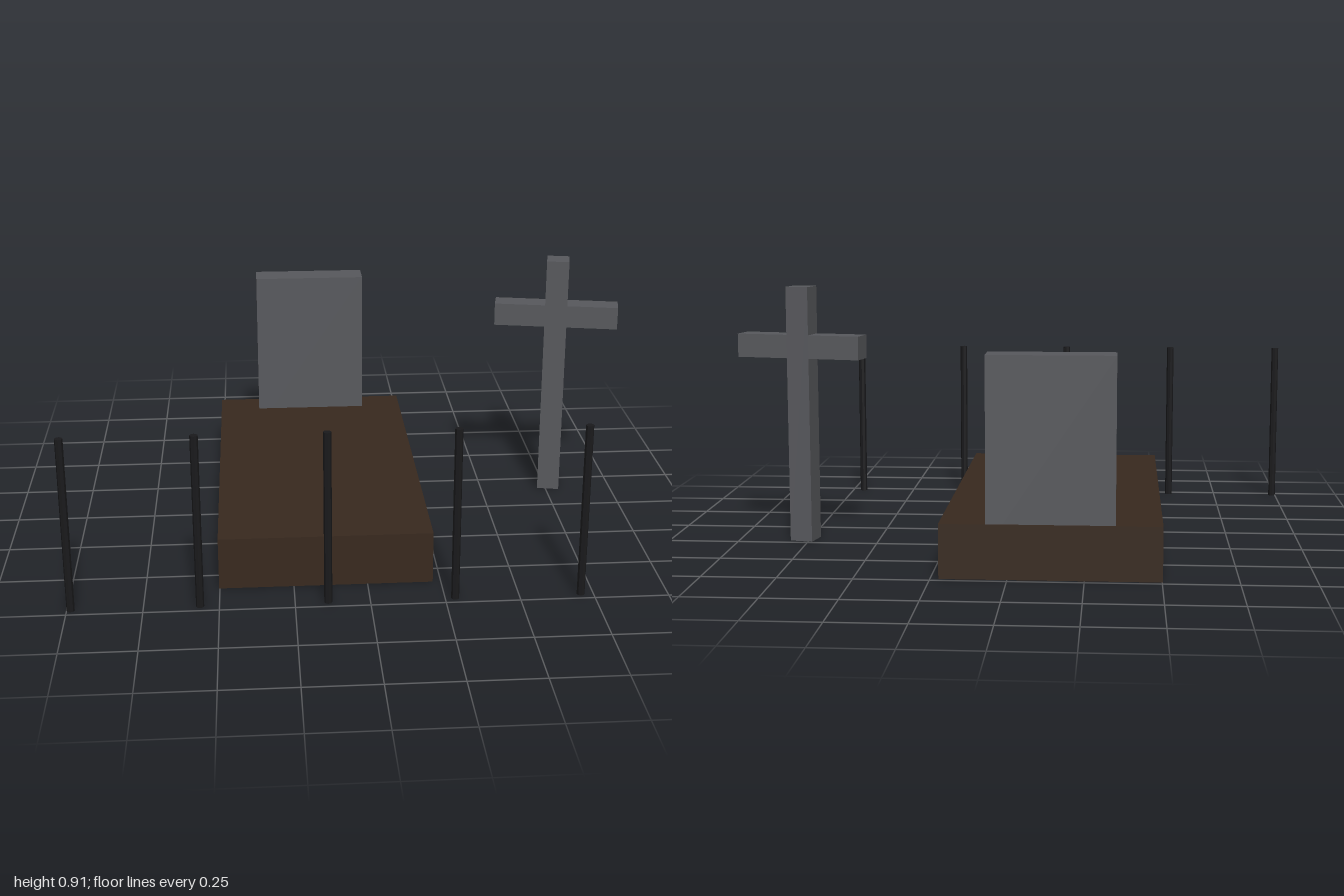
import * as THREE from 'three';

const stone = new THREE.MeshStandardMaterial({ color: 0x58595d });
const soil = new THREE.MeshStandardMaterial({ color: 0x38291e });
const iron = new THREE.MeshStandardMaterial({ color: 0x1a1a1c, flatShading: true });

// Box whose base sits at height y
function block(name, material, [w, h, d], [x, y, z]) {
  const mesh = new THREE.Mesh(new THREE.BoxGeometry(w, h, d), material);
  mesh.name = name;
  mesh.position.set(x, y + h / 2, z);
  return mesh;
}

export function createModel() {
  const model = new THREE.Group();
  model.name = 'grave';

  // Earth bed and headstone
  model.add(block('graveBed', soil, [0.725, 0.182, 1.33], [-0.14, 0, -0.067]));
  model.add(block('headstone', stone, [0.42, 0.63, 0.106], [-0.14, 0.1, -0.674]));

  // Stone cross, turned slightly about its post
  const cross = new THREE.Group();
  cross.name = 'cross';
  cross.add(block('crossPost', stone, [0.082, 0.91, 0.083], [0, 0, 0]));
  cross.add(block('crossArm', stone, [0.455, 0.083, 0.083], [0, 0.658, 0]));
  cross.position.set(0.767, 0, -0.189);
  cross.rotation.y = -0.2;
  model.add(cross);

  // Row of fence rods along the front
  const rod = new THREE.CylinderGeometry(0.0135, 0.0135, 0.608, 8);
  for (let i = 0; i < 5; i++) {
    const post = new THREE.Mesh(rod, iron);
    post.name = `fenceRod${i + 1}`;
    post.position.set(-0.987 + i * 0.4235, 0.304, 0.719);
    model.add(post);
  }
  return model;
}
